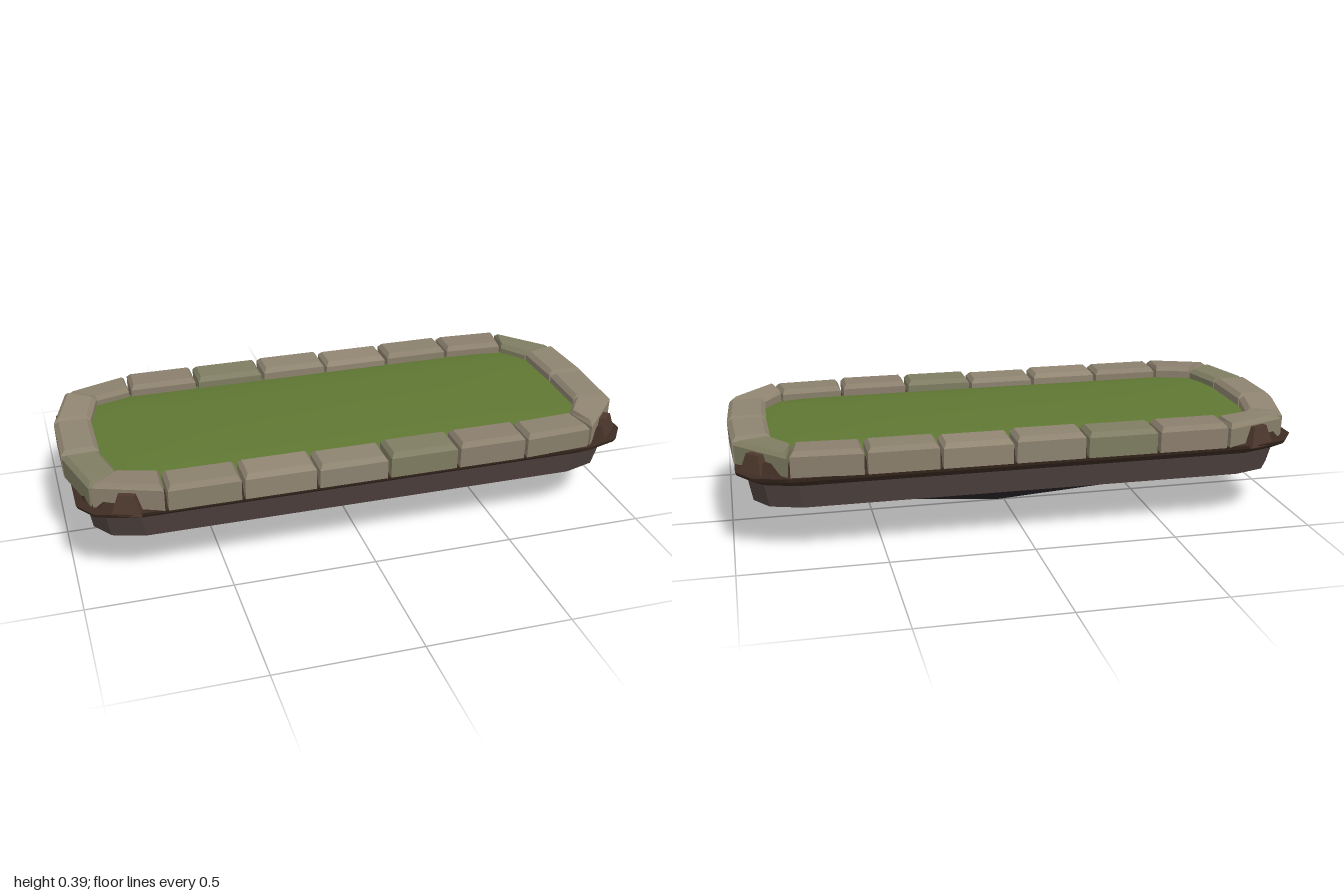
import * as THREE from 'three';

const V = (x, y, z) => new THREE.Vector3(x, y, z);

// Faceted skin through rings of equal length, listed from bottom to top
function loft(name, rings, color, smooth = false) {
  const n = rings[0].length;
  const pos = [];
  const index = [];
  rings.forEach(r => r.forEach(p => pos.push(p.x, p.y, p.z)));
  for (let k = 0; k < rings.length - 1; k++) {
    for (let i = 0; i < n; i++) {
      const a = k * n + i, b = k * n + (i + 1) % n;
      index.push(a, a + n, b, b, a + n, b + n);
    }
  }
  const geo = new THREE.BufferGeometry();
  geo.setAttribute('position', new THREE.Float32BufferAttribute(pos, 3));
  geo.setIndex(index);
  geo.computeVertexNormals();
  const mat = new THREE.MeshStandardMaterial({ color, flatShading: !smooth });
  const mesh = new THREE.Mesh(geo, mat);
  mesh.name = name;
  return mesh;
}

// Rectangle with faceted corners; s scales it about its centre
function bedRing(w, d, y, s = 1, cx = 0) {
  const corner = [[w, d - 0.11], [w - 0.05, d - 0.035], [w - 0.16, d]];
  const flip = [...corner].reverse();
  return [
    ...corner,
    ...flip.map(([x, z]) => [-x, z]),
    ...corner.map(([x, z]) => [-x, -z]),
    ...flip.map(([x, z]) => [x, -z]),
  ].map(([x, z]) => V(x * s + cx, y, z * s));
}

const pointRing = (p, n) => Array.from({ length: n }, () => p.clone());

// Bevelled stone over a four-cornered plot: outer edge p0-p1, inner edge q0-q1
function stone(p0, p1, q0, q1, top, color) {
  const length = Math.hypot(p1[0] - p0[0], p1[1] - p0[1]);
  const depth = Math.hypot(q0[0] - p0[0], q0[1] - p0[1]);
  const at = (u, v, y) => {
    const mix = i => (1 - v) * ((1 - u) * p0[i] + u * p1[i]) + v * ((1 - u) * q0[i] + u * q1[i]);
    return V(mix(0), y, mix(1));
  };
  const quad = (inset, side, y) => {
    const u = inset / length, v = side / depth;
    return [at(u, v, y), at(1 - u, v, y), at(1 - u, 1 - v, y), at(u, 1 - v, y)];
  };
  return loft('rimStone', [
    pointRing(at(0.5, 0.5, 0.297), 4),
    quad(0.006, 0.003, 0.297),
    quad(0.006, 0, top - 0.016),
    quad(0.018, 0.016, top),
    pointRing(at(0.5, 0.5, top), 4),
  ], color);
}

export function createModel() {
  const model = new THREE.Group();
  model.name = 'plantingBed';

  // Underside tapering to a point
  model.add(loft('underside', [
    pointRing(V(0.03, 0, 0), 12),
    bedRing(0.57, 0.18, 0.1, 1, 0.01),
    bedRing(0.75, 0.27, 0.14),
    bedRing(0.925, 0.382, 0.172),
  ], 0x29262a));

  // Sloping side band
  model.add(loft('sideBand', [
    bedRing(0.925, 0.382, 0.172),
    bedRing(0.94, 0.402, 0.256),
  ], 0x50433f));

  // Flared ledge and the soil inside the stone rim
  model.add(loft('soilLedge', [
    bedRing(0.94, 0.402, 0.256),
    bedRing(0.975, 0.442, 0.284),
    bedRing(0.98, 0.448, 0.298),
    bedRing(0.955, 0.425, 0.3),
    bedRing(0.94, 0.41, 0.335),
    pointRing(V(0, 0.335, 0), 12),
  ], 0x3d2c23));

  // Gently domed lawn
  model.add(loft('lawn', [
    bedRing(0.905, 0.37, 0.335),
    bedRing(0.86, 0.325, 0.346),
    bedRing(0.79, 0.26, 0.354),
    bedRing(0.5, 0.16, 0.358),
    pointRing(V(0, 0.36, 0), 12),
  ], 0x5f7733, true));

  // Seams between stones: outer x, z and inner x, z, clockwise from above
  const seams = [
    [0.997, 0, 0.86, 0], [0.985, 0.25, 0.855, 0.215], [0.812, 0.442, 0.79, 0.315],
  ];
  for (const x of [0.56, 0.31, 0.06, -0.19, -0.445, -0.7]) seams.push([x, 0.456, x, 0.328]);
  seams.push([-0.935, 0.367, -0.83, 0.288], [-1, 0.127, -0.87, 0.125]);
  // Mirror to the back, leaving out the seam on the centre line
  seams.push(...seams.slice(1).reverse().map(([a, b, c, d]) => [a, -b, c, -d]));

  const rim = new THREE.Group();
  rim.name = 'stoneRim';
  const tops = [0.385, 0.388, 0.383, 0.387, 0.386, 0.38, 0.386];
  const tones = [0x8d8370, 0x8a806c, 0x7f7d62, 0x918672, 0x8b7f6d];
  seams.forEach((s, i) => {
    const e = seams[(i + 1) % seams.length];
    rim.add(stone([s[0], s[1]], [e[0], e[1]], [s[2], s[3]], [e[2], e[3]],
      tops[i % tops.length], tones[(i * 3) % tones.length]));
  });
  model.add(rim);

  // Soil buttresses showing through the corner stones
  for (const [x, z, angle] of [[-0.815, 0.4, -0.37], [0.9, 0.335, 0.83]]) {
    for (const side of [1, -1]) {
      const box = (w, d, y) => [V(w, y, -d), V(w, y, d), V(-w, y, d), V(-w, y, -d)];
      const wedge = loft('soilButtress', [
        box(0.05, 0.045, 0.29), box(0.028, 0.03, 0.36), pointRing(V(0, 0.36, 0), 4),
      ], 0x4d382d);
      wedge.position.set(x, 0, z * side);
      wedge.rotation.y = side > 0 ? angle : Math.PI - angle;
      model.add(wedge);
    }
  }
  return model;
}
